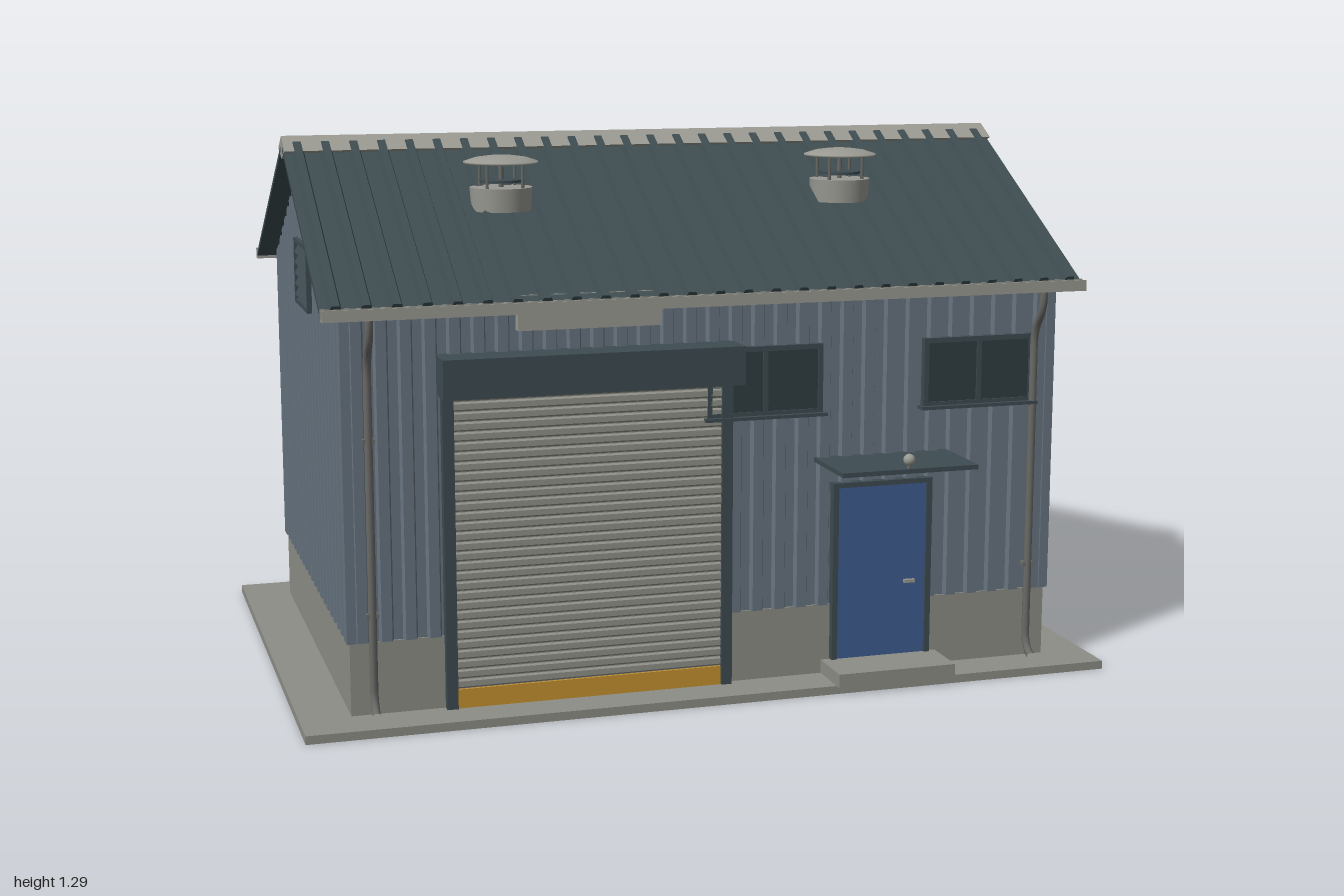
import * as THREE from 'three';

const CX = -0.025, CZ = -0.035;            // centre of the building on the slab
const APEX = 1.28, SLOPE = 0.555;          // roof ridge height and pitch
const mat = (name, color, side = THREE.FrontSide) => {
  const m = new THREE.MeshStandardMaterial({ color, side });
  m.name = name;
  return m;
};

export function createModel() {
  const M = {
    concrete: mat('concrete', 0x8e8e87),
    cladding: mat('blue grey cladding', 0x677480),
    roof: mat('dark teal sheet', 0x3e4c51),
    zinc: mat('zinc trim', 0x9a9a93),
    shutter: mat('shutter grey', 0x92928b),
    pipe: mat('pipe grey', 0x6a6a67),
    blue: mat('door blue', 0x3f5c90),
    orange: mat('safety orange', 0xc4922f),
    glass: mat('dark glass', 0x303c41),
  };
  const model = new THREE.Group();
  model.name = 'workshop';

  const add = (parent, name, geo, material, x = 0, y = 0, z = 0) => {
    const m = new THREE.Mesh(geo, material);
    m.name = name;
    m.position.set(x, y, z);
    parent.add(m);
    return m;
  };
  // box given by its limits on each axis
  const box = (parent, name, material, x0, x1, y0, y1, z0, z1) =>
    add(parent, name, new THREE.BoxGeometry(x1 - x0, y1 - y0, z1 - z0), material,
      (x0 + x1) / 2, (y0 + y1) / 2, (z0 + z1) / 2);
  const group = (parent, name, x = 0, y = 0, z = 0, turn = 0) => {
    const g = new THREE.Group();
    g.name = name;
    g.position.set(x, y, z);
    g.rotation.y = turn;
    parent.add(g);
    return g;
  };
  const extrude = (points, depth) => new THREE.ExtrudeGeometry(
    new THREE.Shape(points.map(p => new THREE.Vector2(...p))), { depth, bevelEnabled: false });
  // ribbed sheet: width along x, ribs towards +y, extruded along z
  const ribbed = (width, count, base, top, height, back, length) => {
    const pitch = width / count, pts = [[-width / 2, -back], [-width / 2, 0]];
    for (let i = 0; i < count; i++) {
      const c = -width / 2 + (i + 0.5) * pitch;
      pts.push([c - base / 2, 0], [c - top / 2, height], [c + top / 2, height], [c + base / 2, 0],
        [c + pitch / 2, 0]);
    }
    pts.push([width / 2, -back]);
    return extrude(pts, length);
  };

  // slab, plinth and inner core
  const shell = group(model, 'building', CX, 0, CZ);
  box(shell, 'slab', M.concrete, -0.975, 0.97, 0, 0.02, -0.656, 0.652);
  box(shell, 'plinth', M.concrete, -0.857, 0.857, 0.02, 0.19, -0.545, 0.545);
  const core = extrude([[-0.53, 0.19], [0.53, 0.19], [0.53, 0.965], [0, 1.258], [-0.53, 0.965]], 1.69);
  core.rotateY(Math.PI / 2).translate(-0.845, 0, 0);
  add(shell, 'wallCore', core, M.cladding);

  // ribbed walls
  const longWall = ribbed(1.71, 31, 0.034, 0.024, 0.012, 0.01, 0.775).rotateX(-Math.PI / 2);
  const gable = ribbed(1.1, 20, 0.034, 0.024, 0.012, 0.01, 1).rotateX(-Math.PI / 2);
  const gp = gable.attributes.position;
  for (let i = 0; i < gp.count; i++)
    if (gp.getY(i) > 0.5) gp.setY(i, APEX - 0.02 - SLOPE * Math.abs(gp.getX(i)) - 0.19);
  gable.computeVertexNormals();
  for (const s of [1, -1]) {
    add(shell, s > 0 ? 'frontWall' : 'backWall', longWall, M.cladding, 0, 0.19, s * 0.54)
      .rotation.y = s > 0 ? Math.PI : 0;
    add(shell, s > 0 ? 'leftGable' : 'rightGable', gable, M.cladding, s * 0.852, 0.19, 0)
      .rotation.y = -s * Math.PI / 2;
    for (const t of [1, -1])
      box(shell, 'cornerTrim', M.cladding, s * 0.853 - 0.011, s * 0.853 + 0.011, 0.19, 0.962,
        t * 0.542 - 0.011, t * 0.542 + 0.011);
  }

  // roof slopes with gutters and downpipes, one set for each side
  const angle = Math.atan(SLOPE), start = 0.02, eave = 0.593;
  const slopeGeo = ribbed(1.82, 27, 0.03, 0.018, 0.016, 0.012, (eave - start) / Math.cos(angle));
  const w = 0.0125, t = 0.003;
  const gutterGeo = extrude([[-w, 0.026], [-w, 0], [w, 0], [w, 0.026], [w - t, 0.026], [w - t, t],
    [-w + t, t], [-w + t, 0.026]], 1.82).rotateY(Math.PI / 2);
  const route = new THREE.CurvePath();
  const V = (y, z) => new THREE.Vector3(0, y, z);
  route.add(new THREE.CubicBezierCurve3(V(0.935, 0.606), V(0.85, 0.606), V(0.875, 0.56), V(0.79, 0.56)));
  route.add(new THREE.LineCurve3(V(0.79, 0.56), V(0.085, 0.56)));
  route.add(new THREE.QuadraticBezierCurve3(V(0.085, 0.56), V(0.045, 0.56), V(0.03, 0.592)));
  const pipeGeo = new THREE.TubeGeometry(route, 60, 0.0095, 10);
  for (const s of [1, -1]) {
    const side = group(shell, s > 0 ? 'frontRoofSide' : 'backRoofSide', 0, 0, 0, s > 0 ? 0 : Math.PI);
    add(side, 'roofSheet', slopeGeo, M.roof, 0, APEX - SLOPE * start, start).rotation.x = angle;
    add(side, 'gutter', gutterGeo, M.zinc, -0.91, 0.932, 0.606);
    for (const x of [-0.806, 0.806]) {
      add(side, 'downpipe', pipeGeo, M.pipe, x);
      for (const y of [0.25, 0.65])
        box(side, 'pipeClip', M.pipe, x - 0.014, x + 0.014, y, y + 0.01, 0.545, 0.566);
    }
  }
  const cap = extrude([[-0.06, 1.262], [0, 1.24], [0.06, 1.262], [0, 1.295]], 1.82);
  add(shell, 'ridgeCap', cap.rotateY(Math.PI / 2), M.zinc, -0.91);

  // roof ventilators
  const ring = pts => new THREE.LatheGeometry(pts.map(p => new THREE.Vector2(...p)), 28);
  const cowl = ring([[0, 0], [0.088, 0.003], [0.088, 0.008], [0.06, 0.017], [0.03, 0.021], [0, 0.022]]);
  for (const x of [-0.455, 0.395]) {
    const v = group(model, 'roofVentilator', x, 0, 0.214);
    add(v, 'ventBase', new THREE.CylinderGeometry(0.074, 0.07, 0.055, 28), M.zinc, 0, 1.155);
    add(v, 'ventThroat', new THREE.CylinderGeometry(0.05, 0.05, 0.006, 20), M.roof, 0, 1.197);
    add(v, 'ventStem', new THREE.CylinderGeometry(0.006, 0.006, 0.06, 8), M.pipe, 0, 1.21);
    add(v, 'ventCowl', cowl, M.zinc, 0, 1.235);
    for (let i = 0; i < 4; i++) {
      const a = (i + 0.5) * Math.PI / 2;
      add(v, 'ventPost', new THREE.CylinderGeometry(0.004, 0.004, 0.065, 6), M.pipe,
        0.06 * Math.cos(a), 1.208, 0.06 * Math.sin(a));
    }
  }

  // windows
  const addWindow = (x, front) => {
    const g = group(shell, 'window', x, 0.742, front ? 0.54 : -0.54, front ? 0 : Math.PI);
    box(g, 'glass', M.glass, -0.14, 0.14, -0.078, 0.078, 0.005, 0.014);
    for (const s of [-1, 0, 1])
      box(g, 'frameUpright', M.roof, s * 0.136 - 0.006, s * 0.136 + 0.006, -0.082, 0.082, 0, 0.018);
    for (const s of [-1, 1])
      box(g, 'frameRail', M.roof, -0.142, 0.142, s * 0.077 - 0.006, s * 0.077 + 0.006, 0, 0.018);
    box(g, 'sill', M.roof, -0.15, 0.15, -0.088, -0.08, 0, 0.03);
  };
  for (const x of [-0.633, -0.211, 0.211, 0.633]) addWindow(x, false);
  addWindow(0.125, true);
  addWindow(0.665, true);

  // roller door
  const roller = group(model, 'rollerDoor');
  box(roller, 'rollerHousing', M.roof, -0.675, 0.025, 0.75, 0.84, 0.5, 0.597);
  const slats = ribbed(0.69, 30, 0.021, 0.013, 0.004, 0.02, 0.64);
  slats.applyMatrix4(new THREE.Matrix4().makeBasis(
    new THREE.Vector3(0, 1, 0), new THREE.Vector3(0, 0, 1), new THREE.Vector3(1, 0, 0)));
  add(roller, 'shutter', slats, M.shutter, -0.64, 0.41, 0.519);
  box(roller, 'bottomBar', M.orange, -0.64, 0, 0.02, 0.065, 0.5, 0.525);
  for (const x of [-0.652, 0.005])
    box(roller, 'guideRail', M.roof, x - 0.013, x + 0.013, 0.02, 0.75, 0.5, 0.53);
  box(model, 'fasciaPanel', M.zinc, -0.49, -0.155, 0.887, 0.968, 0.505, 0.53);

  // side door with step, canopy and lamp
  const entry = group(model, 'entrance');
  box(entry, 'doorPanel', M.blue, 0.285, 0.51, 0.055, 0.478, 0.5, 0.521);
  for (const x of [0.278, 0.517])
    box(entry, 'doorJamb', M.roof, x - 0.007, x + 0.007, 0.055, 0.485, 0.5, 0.527);
  box(entry, 'doorHead', M.roof, 0.271, 0.524, 0.476, 0.488, 0.5, 0.527);
  box(entry, 'doorHandle', M.zinc, 0.455, 0.482, 0.232, 0.24, 0.521, 0.53);
  box(entry, 'step', M.concrete, 0.25, 0.545, 0.02, 0.053, 0.5, 0.635);
  box(entry, 'canopy', M.roof, 0.228, 0.565, 0.54, 0.551, 0.5, 0.694);
  add(entry, 'lamp', new THREE.SphereGeometry(0.014, 16, 12), M.zinc, 0.395, 0.571, 0.684);
  add(entry, 'lampBase', new THREE.CylinderGeometry(0.005, 0.005, 0.015, 8), M.pipe, 0.395, 0.555, 0.684);

  // gable louvre
  const louvre = group(shell, 'louvre', -0.856, 0.96, 0, -Math.PI / 2);
  box(louvre, 'louvreBack', M.glass, -0.105, 0.105, -0.075, 0.075, 0, 0.009);
  for (const s of [-1, 1]) {
    box(louvre, 'louvreSide', M.roof, s * 0.106 - 0.006, s * 0.106 + 0.006, -0.08, 0.08, 0, 0.018);
    box(louvre, 'louvreRail', M.roof, -0.11, 0.11, s * 0.075 - 0.005, s * 0.075 + 0.005, 0, 0.018);
  }
  for (let i = 0; i < 5; i++)
    box(louvre, 'louvreSlat', M.roof, -0.1, 0.1, -0.01, 0.01, 0.009, 0.013)
      .position.set(0, -0.052 + i * 0.026, 0.012);
  louvre.children.filter(c => c.name === 'louvreSlat').forEach(c => { c.rotation.x = -0.5; });

  // outlet pipe with flange and support
  const outlet = group(model, 'outlet', 0, 0.13, -0.294);
  const tube = (name, r, x0, x1, m) => {
    add(outlet, name, new THREE.CylinderGeometry(r, r, x1 - x0, 24), m, (x0 + x1) / 2).rotation.z = Math.PI / 2;
  };
  tube('outletPipe', 0.015, 0.82, 0.995, M.zinc);
  tube('outletFlange', 0.032, 0.988, 1, M.zinc);
  box(outlet, 'outletSupport', M.roof, 0.922, 0.946, -0.125, -0.012, -0.032, 0.032);
  return model;
}
